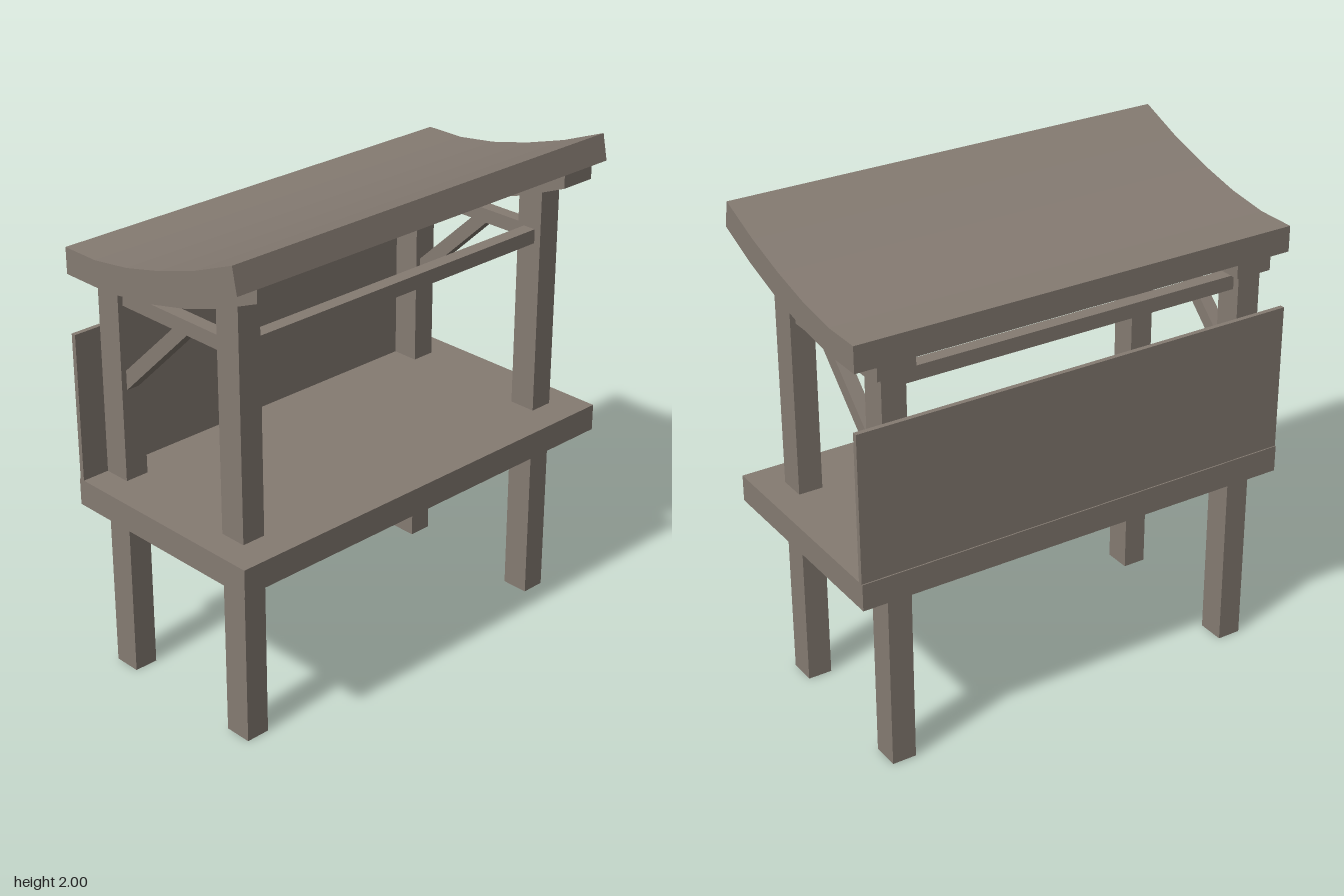
import * as THREE from 'three';

const material = new THREE.MeshStandardMaterial({ color: 0x857b72, flatShading: true });

export function createModel() {
  const group = new THREE.Group();
  group.name = 'marketStall';

  const add = (name, geometry) => {
    const mesh = new THREE.Mesh(geometry, material);
    mesh.name = name;
    group.add(mesh);
  };

  // Box given by its minimum and maximum on each axis
  const box = (name, x0, x1, y0, y1, z0, z1) => {
    const g = new THREE.BoxGeometry(x1 - x0, y1 - y0, z1 - z0);
    g.translate((x0 + x1) / 2, (y0 + y1) / 2, (z0 + z1) / 2);
    add(name, g);
  };

  // Side profile (x, y) extruded along z about a centre
  const slab = (name, points, width, z) => {
    const shape = new THREE.Shape(points.map(([x, y]) => new THREE.Vector2(x, y)));
    const g = new THREE.ExtrudeGeometry(shape, { depth: width, bevelEnabled: false });
    g.translate(0, 0, z - width / 2);
    add(name, g);
  };

  // Counter top and back panel
  box('counter', -0.47, 0.47, 0.74, 0.85, -0.94, 0.94);
  box('backPanel', -0.465, -0.445, 0.85, 1.455, -0.94, 0.94);

  // Curved roof: upper and lower edges of its side profile
  const roofTop = [[-0.47, 1.795], [-0.3, 1.795], [-0.12, 1.82], [0.06, 1.863], [0.25, 1.922], [0.445, 2]];
  const roofBottom = [[-0.47, 1.69], [-0.29, 1.69], [-0.105, 1.715], [0.085, 1.757], [0.275, 1.817], [0.467, 1.895]];
  const rafterBottom = [[-0.47, 1.635], [-0.29, 1.635], [-0.105, 1.66], [0.085, 1.703], [0.275, 1.764], [0.467, 1.843]];
  slab('roof', [...roofBottom, ...[...roofTop].reverse()], 1.88, 0);

  for (const side of [1, -1]) {
    const z = side * 0.775;
    // Posts run from the ground into the rafters
    box('backPost', -0.445, -0.33, 0, 1.66, z - 0.05, z + 0.05);
    box('frontPost', 0.22, 0.335, 0, 1.79, z - 0.05, z + 0.05);
    // Curved rafter under the roof
    slab('rafter', [...rafterBottom, ...[...roofBottom].reverse()], 0.155, z);
    // Cross beam and diagonal brace
    box('crossBeam', -0.33, 0.22, 1.567, 1.625, z - 0.028, z + 0.028);
    slab('brace', [[-0.33, 1.225], [0.03, 1.567], [-0.05, 1.567], [-0.33, 1.305]], 0.055, z);
  }

  // Long rails between the post pairs
  for (const x of [-0.3875, 0.2775]) {
    box('longRail', x - 0.028, x + 0.028, 1.567, 1.625, -0.725, 0.725);
  }

  return group;
}
